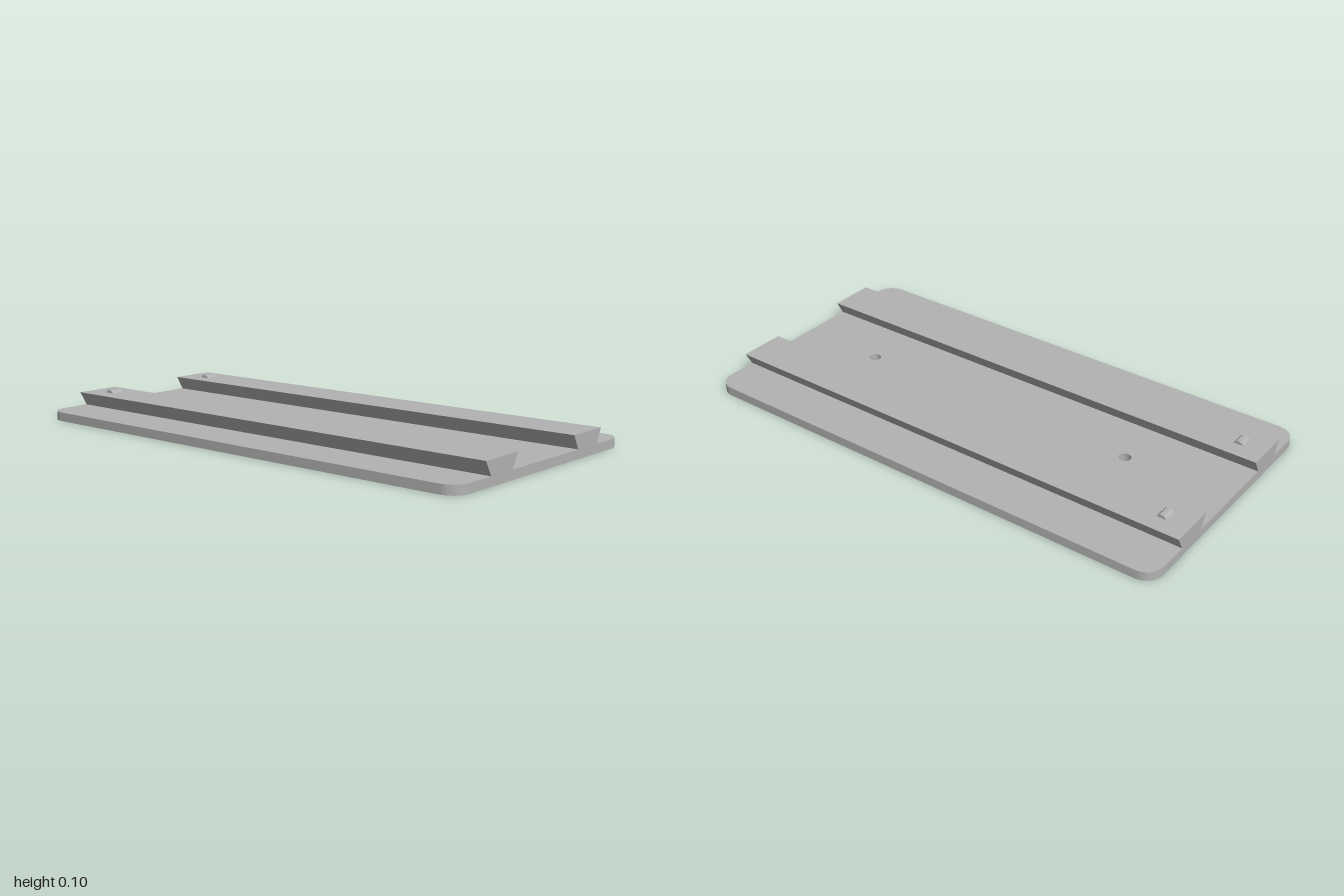
import * as THREE from 'three';
import { toCreasedNormals } from 'three/addons/utils/BufferGeometryUtils.js';

const W = 0.52, L = 1, PLATE = 0.035, RAIL_TOP = 0.09;

function extrude(shape, depth) {
  return new THREE.ExtrudeGeometry(shape, { depth, bevelEnabled: false, curveSegments: 12 });
}

// Rounded rectangle with two round through-holes
function plateGeometry() {
  const r = 0.07, s = new THREE.Shape();
  s.absarc(W - r, L - r, r, 0, Math.PI / 2);
  s.absarc(-W + r, L - r, r, Math.PI / 2, Math.PI);
  s.absarc(-W + r, -L + r, r, Math.PI, Math.PI * 1.5);
  s.absarc(W - r, -L + r, r, Math.PI * 1.5, Math.PI * 2);
  for (const z of [-0.57, 0.63]) {
    s.holes.push(new THREE.Path().absarc(0, -z, 0.024, 0, Math.PI * 2, true));
  }
  return toCreasedNormals(extrude(s, PLATE).rotateX(-Math.PI / 2), 0.6);
}

// Dovetail cross-section, wider at the top, running the full length
function railGeometry() {
  const s = new THREE.Shape([
    new THREE.Vector2(-0.062, PLATE), new THREE.Vector2(0.062, PLATE),
    new THREE.Vector2(0.093, RAIL_TOP), new THREE.Vector2(-0.093, RAIL_TOP),
  ]);
  return extrude(s, 2 * L).translate(0, 0, -L);
}

// Low rounded bump lying across the rail
function bumpGeometry() {
  const half = 0.019, h = 0.012, r = (half * half + h * h) / (2 * h);
  const a = Math.asin((r - h) / r);
  const s = new THREE.Shape();
  s.absarc(0, h - r, r, a, Math.PI - a);
  const g = extrude(s, 0.052).translate(0, 0, -0.026).rotateY(Math.PI / 2);
  return toCreasedNormals(g, 0.6);
}

export function createModel() {
  const model = new THREE.Group();
  model.name = 'railPlate';
  const grey = new THREE.MeshStandardMaterial({ color: 0xb3b3b3 });
  grey.name = 'grey';

  const add = (name, geometry, x = 0, y = 0, z = 0) => {
    const mesh = new THREE.Mesh(geometry, grey);
    mesh.name = name;
    mesh.position.set(x, y, z);
    model.add(mesh);
  };

  add('basePlate', plateGeometry());
  const rail = railGeometry(), bump = bumpGeometry();
  for (const [side, sign] of [['left', 1], ['right', -1]]) {
    add(side + 'Rail', rail, sign * 0.271);
    add(side + 'StopBump', bump, sign * 0.271, RAIL_TOP, -0.895);
  }
  return model;
}
